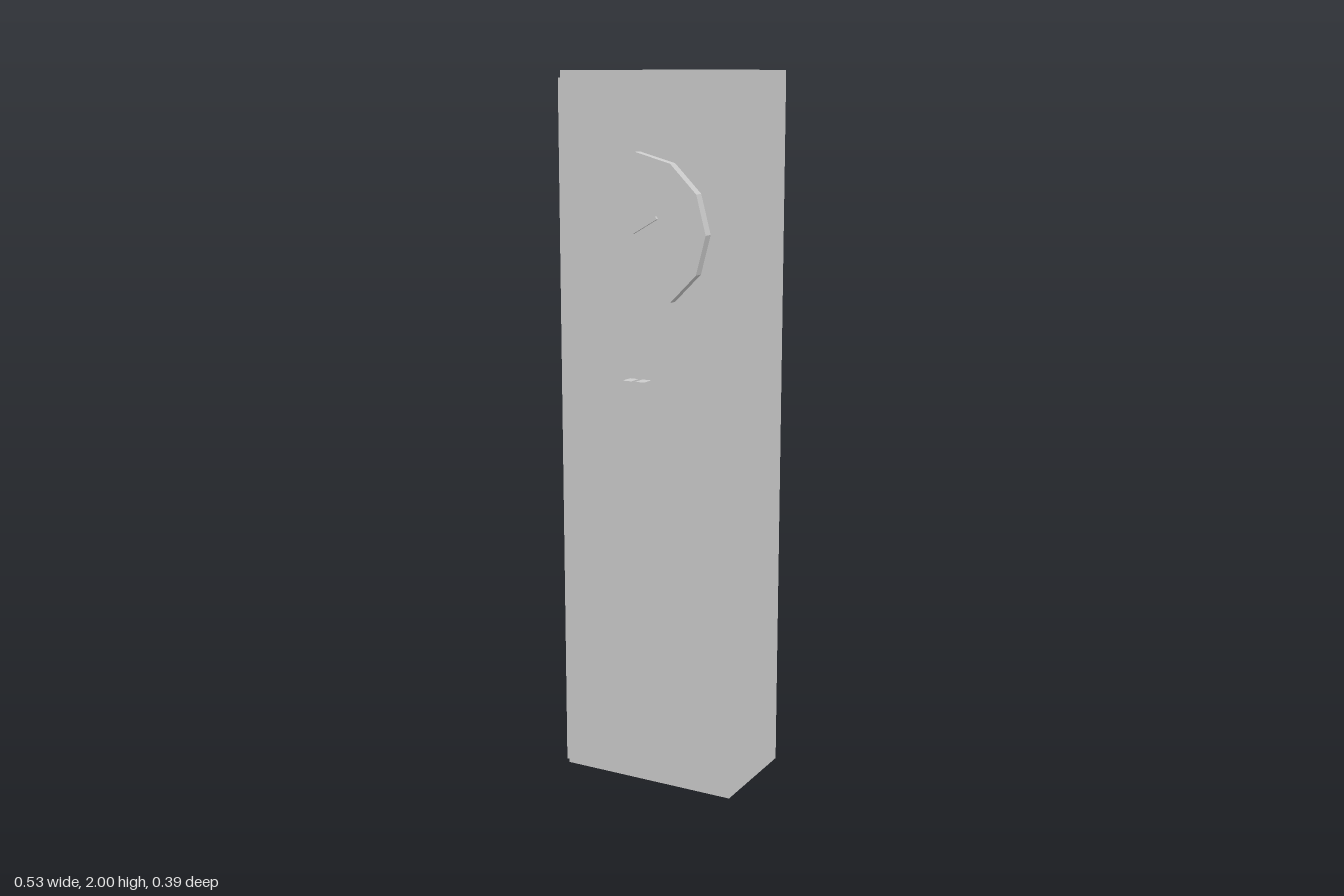
import * as THREE from 'three';

export function createModel() {
  const group = new THREE.Group();
  const grey = new THREE.MeshStandardMaterial({ color: 0xcccccc });
  grey.name = 'light grey';

  // Box given by its min and max corners
  function box(name, [x0, y0, z0], [x1, y1, z1], parent = group) {
    const mesh = new THREE.Mesh(new THREE.BoxGeometry(x1 - x0, y1 - y0, z1 - z0), grey);
    mesh.position.set((x0 + x1) / 2, (y0 + y1) / 2, (z0 + z1) / 2);
    mesh.name = name;
    parent.add(mesh);
    return mesh;
  }

  // Cabinet body
  box('cabinet', [-0.263, 0, -0.195], [0.263, 2, 0.12]);

  // Pair of doors with handles
  box('leftDoor', [0.013, 0.025, 0.122], [0.251, 1.98, 0.149]);
  box('rightDoor', [-0.252, 0.025, 0.122], [-0.014, 1.98, 0.149]);
  box('leftHandle', [0.005, 1.025, 0.149], [0.032, 1.18, 0.189]);
  box('rightHandle', [-0.034, 1.025, 0.149], [-0.007, 1.18, 0.189]);

  // Twelve-sided clock face
  const clock = new THREE.Group();
  clock.name = 'clock';
  clock.position.y = 1.58;
  group.add(clock);
  const faceGeometry = new THREE.CylinderGeometry(0.21, 0.21, 0.03, 12).toNonIndexed();
  faceGeometry.computeVertexNormals();
  faceGeometry.rotateX(Math.PI / 2);
  const face = new THREE.Mesh(faceGeometry, grey);
  face.name = 'clockFace';
  face.position.z = 0.163;
  clock.add(face);

  // Clock hands, pivoting at the centre of the face
  for (const [name, length, angle] of [['minuteHand', 0.105, 0], ['hourHand', 0.083, -Math.PI / 3]]) {
    const pivot = new THREE.Group();
    pivot.name = name;
    pivot.rotation.z = angle;
    clock.add(pivot);
    box(name + 'Bar', [-0.004, 0, 0.186], [0.004, length, 0.194], pivot);
  }

  return group;
}
